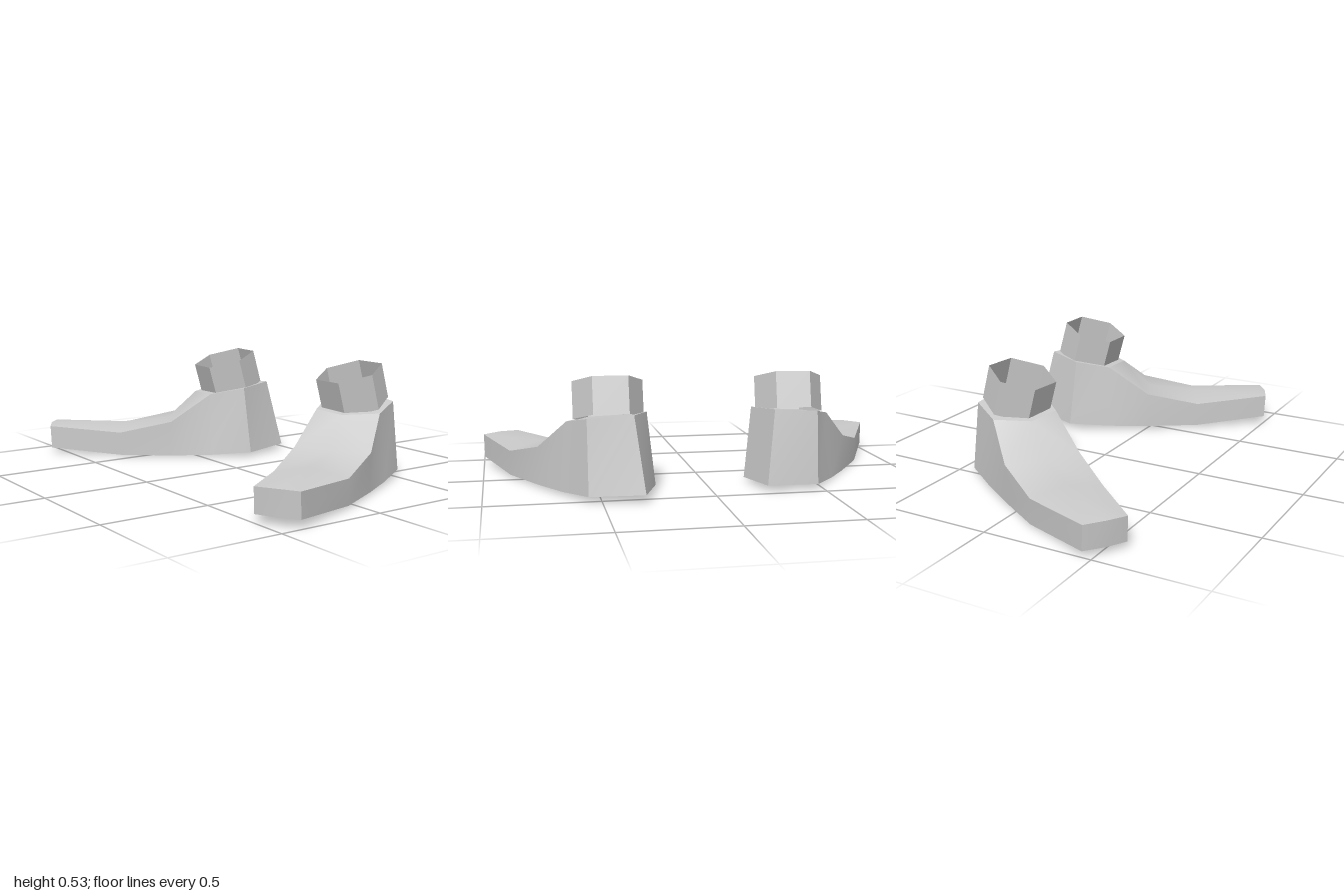
import * as THREE from 'three';
import { toCreasedNormals } from 'three/addons/utils/BufferGeometryUtils.js';

// Stations from heel tip to toe tip (z forward, half width, height)
const SOLE = [[0, 0, .035], [.165, .18, .025], [.37, .18, .012], [.57, .175, .008], [.83, .165, .01], [1.19, .098, .035], [1.2, 0, .036]];
const RIM = [[.08, 0, .365], [.2, .16, .352], [.37, .15, .32], [.57, .175, .182], [.83, .165, .125], [1.195, .098, .147], [1.205, 0, .15]];
// Height line along the middle of the top (z, height)
const RIDGE = [[.08, .365], [.2, .35], [.45, .315], [.59, .18], [.83, .155], [1.195, .152], [1.205, .15]];

const material = new THREE.MeshStandardMaterial({ color: 0xcccccc });

const at = ([z, w, y], side) => new THREE.Vector3(w * side, y, z);

// Closed outline: along the +x edge to the toe, back along the -x edge
const outline = (rows) => [
  ...rows.map((r) => at(r, 1)),
  ...rows.slice(1, -1).reverse().map((r) => at(r, -1)),
];

// Splits quads into triangles, dropping collapsed ones
function surface(quads, crease, name) {
  const pos = [];
  const tri = (a, b, c) => {
    if (new THREE.Triangle(a, b, c).getArea() > 1e-7) {
      for (const p of [a, b, c]) pos.push(p.x, p.y, p.z);
    }
  };
  for (const [a, b, c, d] of quads) {
    tri(a, b, c);
    tri(a, c, d);
  }
  const geo = new THREE.BufferGeometry();
  geo.setAttribute('position', new THREE.Float32BufferAttribute(pos, 3));
  const mesh = new THREE.Mesh(toCreasedNormals(geo, crease), material);
  mesh.name = name;
  return mesh;
}

// Top strip between two stations, folded along the ridge
function topQuads(from, to) {
  const quads = [];
  const mid = ([z, y]) => new THREE.Vector3(0, y, z);
  for (let i = from; i < to; i++) {
    const c = mid(RIDGE[i]), d = mid(RIDGE[i + 1]);
    quads.push([c, d, at(RIM[i + 1], 1), at(RIM[i], 1)]);
    quads.push([c, at(RIM[i], -1), at(RIM[i + 1], -1), d]);
  }
  return quads;
}

function makeFoot(side) {
  const foot = new THREE.Group();
  const low = outline(SOLE), high = outline(RIM);
  const n = low.length;
  const next = (i) => (i + 1) % n;

  foot.add(surface(low.map((b, i) => [low[next(i)], b, high[i], high[next(i)]]), .7, 'sideWall'));

  // Sole, in crosswise strips
  const soleQuads = SOLE.slice(1).map((r, i) => [at(SOLE[i], -1), at(SOLE[i], 1), at(r, 1), at(r, -1)]);
  foot.add(surface(soleQuads, .7, 'sole'));

  foot.add(surface(topQuads(0, 2), .5, 'anklePlate'));
  foot.add(surface(topQuads(2, 6), 1, 'instep'));

  // Open six-sided cuff, leaning forward and inward
  const cuff = new THREE.Mesh(
    new THREE.CylinderGeometry(.155, .155, .165, 6, 1, true),
    new THREE.MeshStandardMaterial({ color: 0xcccccc, flatShading: true, side: THREE.DoubleSide }),
  );
  cuff.name = 'ankleCuff';
  cuff.position.set(-.01 * side, .412, .282);
  const lean = new THREE.Vector3(-.14 * side, 1, .24).normalize();
  cuff.quaternion.setFromUnitVectors(new THREE.Vector3(0, 1, 0), lean);
  foot.add(cuff);
  return foot;
}

export function createModel() {
  const model = new THREE.Group();
  model.name = 'feet';

  const left = makeFoot(1);
  left.name = 'leftFoot';
  left.position.set(.32, .002, -.58);
  left.rotation.y = THREE.MathUtils.degToRad(29.8);

  const right = makeFoot(-1);
  right.name = 'rightFoot';
  right.position.set(-.24, -.008, -.46);
  right.rotation.y = THREE.MathUtils.degToRad(-34.9);

  model.add(left, right);
  return model;
}
